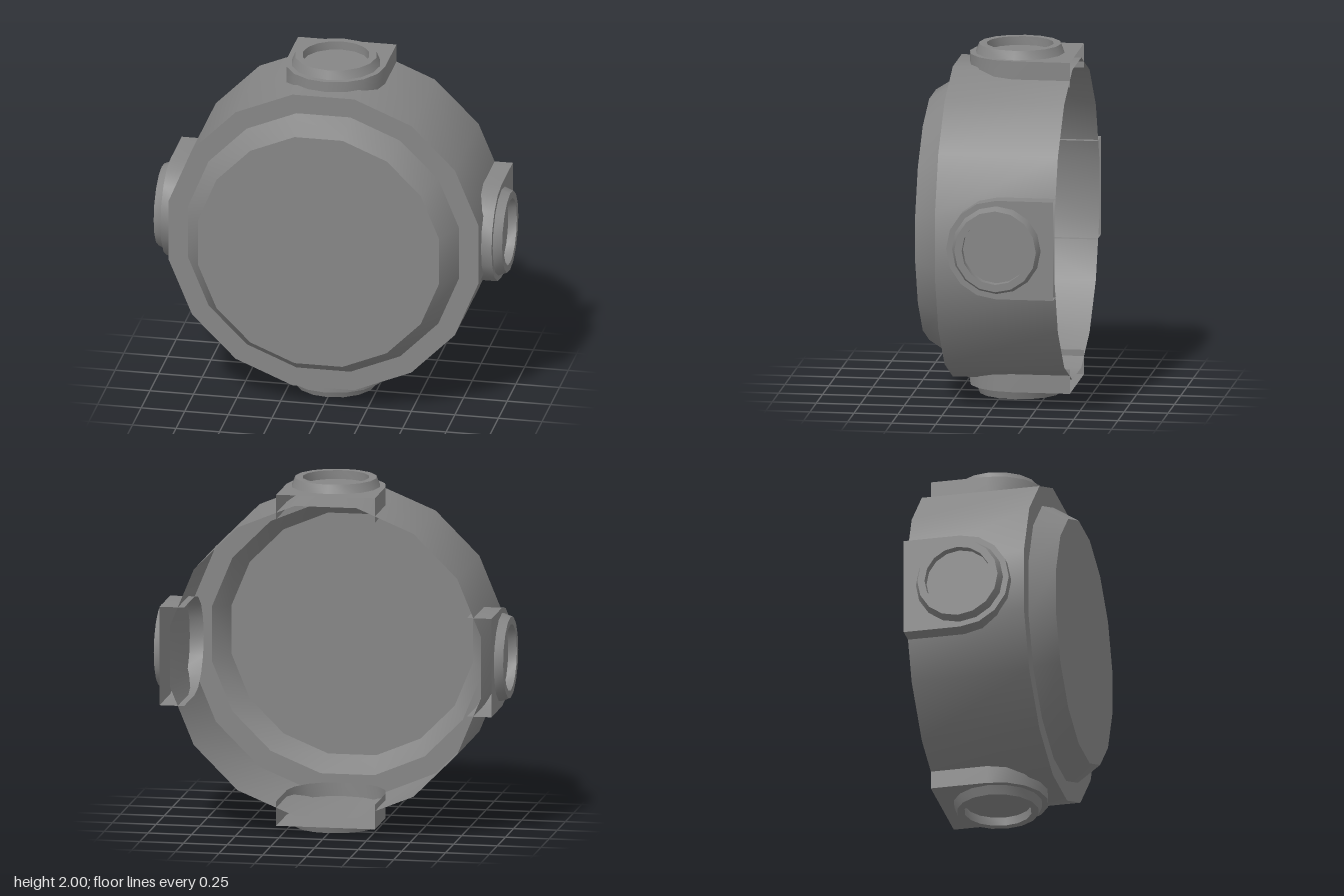
import * as THREE from 'three';
import { toCreasedNormals } from 'three/addons/utils/BufferGeometryUtils.js';

const SIDES = 16, STEP = Math.PI / SIDES;
const BACK = -0.41, SHOULDER = 0.27, FRONT = 0.41;
const W = 0.2825, BOSS_Z = -0.085;               // half width and arc centre of a side boss
const RIM = 0.81, PLATE = 0.95, TOP = 1.0;       // boss levels, measured from the axis

const material = new THREE.MeshStandardMaterial({ color: 0x868686, side: THREE.DoubleSide });

function addMesh(parent, name, geometry) {
  const mesh = new THREE.Mesh(geometry, material);
  mesh.name = name;
  parent.add(mesh);
}

// Lathe with smooth sides and sharp profile corners
function lathe(profile, phase) {
  const points = profile.map(([r, y]) => new THREE.Vector2(r, y));
  return toCreasedNormals(new THREE.LatheGeometry(points, SIDES, phase), 0.5);
}

// U-shaped boss outline [x, z], open towards the back
function bossOutline() {
  const outline = [[-W, BACK]];
  for (let i = 8; i >= 0; i--) {
    const a = i * Math.PI / 8;
    outline.push([W * Math.cos(a), BOSS_Z + W * Math.sin(a)]);
  }
  outline.push([W, BACK]);
  return outline;
}

// Upright wall along an outline, from height y0 to y1
function upright(outline, y0, y1) {
  const n = outline.length, index = [];
  for (let i = 0; i < n - 1; i++) index.push(i, i + 1, n + i + 1, i, n + i + 1, n + i);
  const points = [y0, y1].flatMap(y => outline.flatMap(([x, z]) => [x, y, z]));
  const geometry = new THREE.BufferGeometry();
  geometry.setAttribute('position', new THREE.Float32BufferAttribute(points, 3));
  geometry.setIndex(index);
  return toCreasedNormals(geometry, 0.5);
}

// Side boss pointing up, with its port
function createBoss() {
  const boss = new THREE.Group();
  const outline = bossOutline();

  // Rim, passing through the body wall and standing a little inside it
  addMesh(boss, 'bossRim', upright(outline, RIM, PLATE));

  // Flat plate over the rim
  const shape = new THREE.Shape(outline.map(([x, z]) => new THREE.Vector2(x, -z)));
  addMesh(boss, 'bossPlate',
    new THREE.ShapeGeometry(shape).rotateX(-Math.PI / 2).translate(0, PLATE, 0));

  // Tapered collar with a straight bore
  addMesh(boss, 'portCollar',
    lathe([[0.252, PLATE], [0.232, TOP], [0.19, TOP], [0.19, PLATE]], 0).translate(0, 0, BOSS_Z - 0.003));
  return boss;
}

export function createModel() {
  const model = new THREE.Group();
  model.name = 'junctionBox';
  const box = new THREE.Group();
  box.name = 'box';
  box.position.y = 1;
  model.add(box);

  // Shell, open at the back: wall, shoulder, bevel and front face
  addMesh(box, 'body', lathe([
    [0.907, BACK], [0.907, SHOULDER], [0.793, SHOULDER], [0.705, FRONT], [0, FRONT],
  ], STEP).rotateX(Math.PI / 2));

  // Four identical bosses around the axis
  ['topBoss', 'rightBoss', 'bottomBoss', 'leftBoss'].forEach((name, i) => {
    const boss = createBoss();
    boss.name = name;
    boss.rotation.z = i * Math.PI / 2;
    box.add(boss);
  });
  return model;
}
